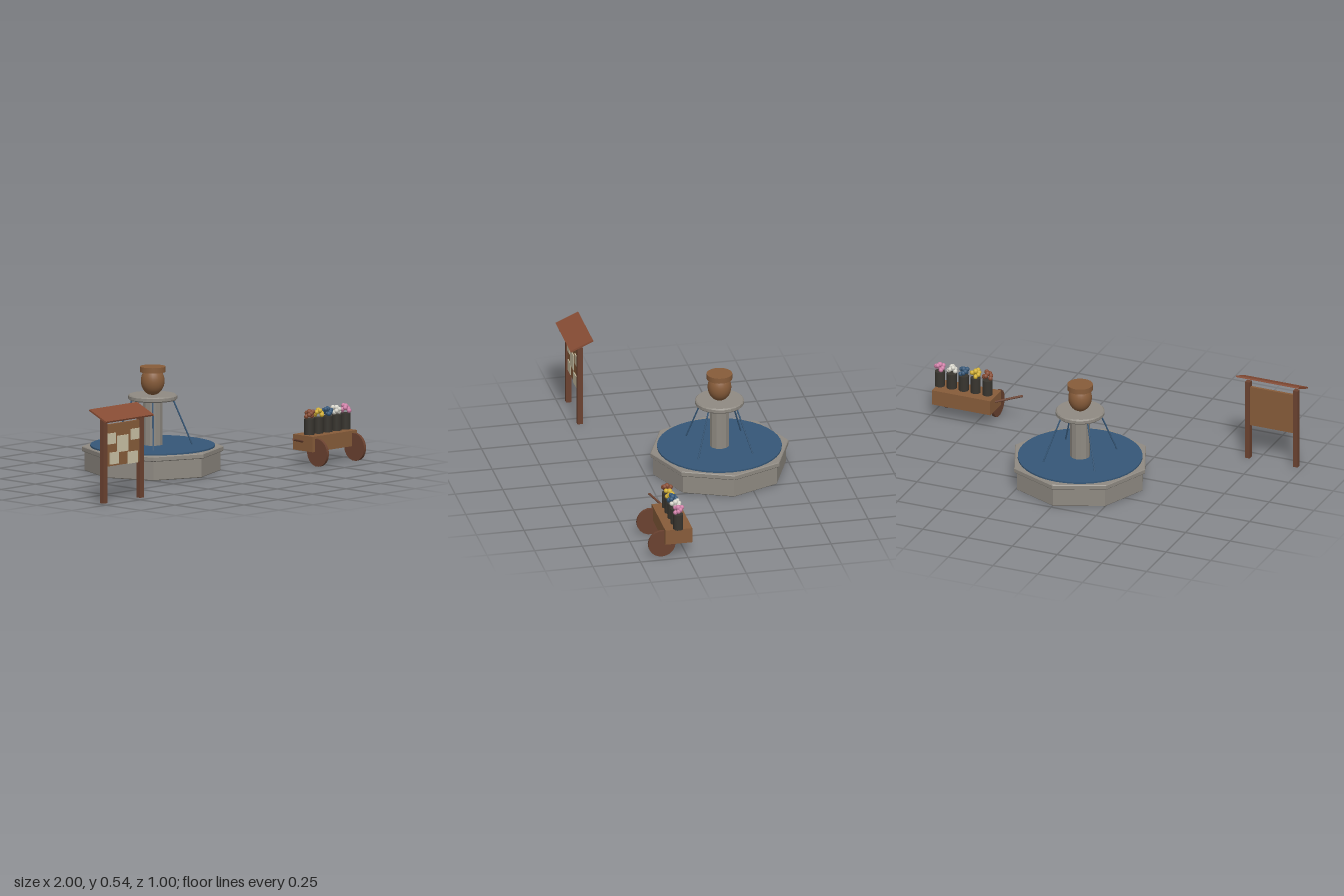
import * as THREE from 'three';

const mat = (name, color, flat = false) =>
  Object.assign(new THREE.MeshStandardMaterial({ color, flatShading: flat }), { name });

export function createModel() {
  const stone = mat('stone', 0x8f8a82, true);
  const water = mat('water blue', 0x355778);
  const wood = mat('warm wood', 0x875c3a);
  const darkWood = mat('dark wood', 0x6b4230);
  const roofWood = mat('red roof wood', 0x874c34);
  const paper = mat('cream paper', 0xcac1a4);
  const iron = mat('dark pot', 0x38352f);
  const yellow = mat('yellow petals', 0xd2b035);
  const pink = mat('pink petals', 0xd080a8);
  const white = mat('white petals', 0xd8d6cc);

  const group = (name, parent) => {
    const g = new THREE.Group();
    g.name = name;
    if (parent) parent.add(g);
    return g;
  };
  const add = (parent, name, geometry, material, x = 0, y = 0, z = 0) => {
    const m = new THREE.Mesh(geometry, material);
    m.name = name;
    m.position.set(x, y, z);
    parent.add(m);
    return m;
  };
  const box = (w, h, d) => new THREE.BoxGeometry(w, h, d);
  const cyl = (r, h, n) => new THREE.CylinderGeometry(r, r, h, n);
  // Thin round bar between two points
  const bar = (parent, name, a, b, r, material) => {
    const from = new THREE.Vector3(...a), to = new THREE.Vector3(...b);
    const m = add(parent, name, cyl(r, from.distanceTo(to), 8), material);
    m.position.copy(from).add(to).multiplyScalar(0.5);
    m.quaternion.setFromUnitVectors(new THREE.Vector3(0, 1, 0), to.sub(from).normalize());
  };
  // Slab with a small bevel on its upper and lower edges
  const slab = (r, y0, y1, bevel, n) => new THREE.LatheGeometry([
    [0, y0], [r - bevel, y0], [r, y0 + bevel], [r, y1 - bevel], [r - bevel, y1], [0, y1],
  ].map(([px, py]) => new THREE.Vector2(px, py)), n);

  const model = group('village square');

  // Fountain
  const fountain = group('fountain', model);
  fountain.position.set(-0.004, 0, -0.138);
  add(fountain, 'basin', slab(0.348, 0, 0.102, 0.004, 8), stone);
  add(fountain, 'basinRim', slab(0.363, 0.1, 0.127, 0.004, 8), stone);
  add(fountain, 'waterSurface', cyl(0.32, 0.016, 40), water, 0, 0.127, 0);
  add(fountain, 'column', cyl(0.051, 0.25, 12), stone, 0, 0.25, 0);
  add(fountain, 'upperDish', slab(0.126, 0.368, 0.395, 0.006, 24), stone);
  add(fountain, 'urnBody', new THREE.SphereGeometry(1, 24, 16), wood, 0, 0.465, 0).scale.set(0.061, 0.074, 0.061);
  add(fountain, 'urnRim', cyl(0.066, 0.028, 24), wood, 0, 0.526, 0);
  for (const sx of [-1, 1]) for (const sz of [-1, 1])
    bar(fountain, 'waterJet', [sx * 0.073, 0.37, sz * 0.073], [sx * 0.144, 0.133, sz * 0.144], 0.004, water);

  // Notice board
  const board = group('noticeBoard', model);
  board.position.set(-0.825, 0, 0.443);
  for (const s of [-1, 1]) add(board, 'post', box(0.027, 0.432, 0.027), darkWood, s * 0.134, 0.216, 0);
  add(board, 'panel', box(0.245, 0.217, 0.014), wood, 0, 0.296, 0);
  for (const [x, y, w, h] of [
    [-0.085, 0.33, 0.06, 0.056], [-0.002, 0.297, 0.082, 0.085], [0.088, 0.336, 0.06, 0.056],
    [-0.064, 0.227, 0.064, 0.062], [0.07, 0.217, 0.075, 0.062],
  ]) add(board, 'notice', box(w, h, 0.004), paper, x, y, 0.009);
  const roof = group('roof', board);
  roof.position.set(0, 0.454, -0.003);
  roof.rotation.x = 0.41;
  for (let i = 0; i < 4; i++)
    add(roof, 'roofPlank', box(0.35, 0.009, 0.0325), roofWood, 0, 0, (i - 1.5) * 0.0325);

  // Flower cart
  const cart = group('flowerCart', model);
  add(cart, 'cartBody', box(0.326, 0.08, 0.141), wood, 0.818, 0.115, 0.294);
  for (const x of [0.68, 0.952])
    add(cart, 'wheel', cyl(0.072, 0.015, 18), darkWood, x, 0.072, 0.378).rotation.z = Math.PI / 2;
  bar(cart, 'handle', [0.528, 0.154, 0.35], [0.67, 0.12, 0.284], 0.006, darkWood);

  // Pots with round bunches of blossoms
  [roofWood, yellow, water, white, pink].forEach((petals, i) => {
    const pot = group('flowerPot', cart);
    pot.position.set(0.701 + i * 0.0665, 0, 0.295);
    add(pot, 'pot', cyl(0.026, 0.084, 16), iron, 0, 0.195, 0);
    add(pot, 'blossom', new THREE.SphereGeometry(0.014, 10, 8), petals, 0, 0.273, 0);
    for (let k = 0; k < 7; k++) {
      const a = k * 2.4 + i;
      add(pot, 'blossom', new THREE.SphereGeometry(0.012, 10, 8), petals,
        Math.cos(a) * 0.018, 0.25 + (k % 4) * 0.008, Math.sin(a) * 0.019);
    }
  });

  return model;
}
